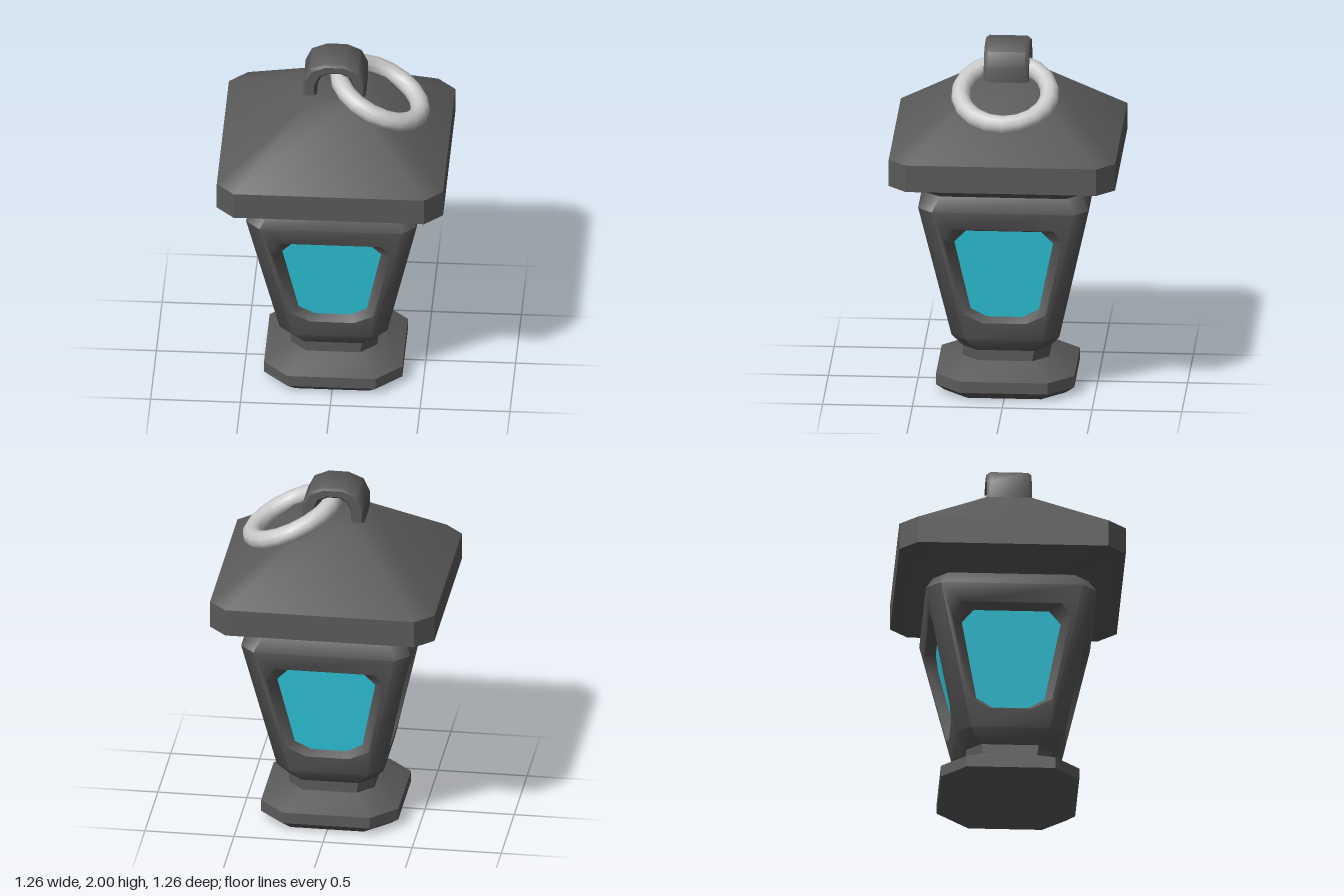
import * as THREE from 'three';
import { mergeGeometries, toCreasedNormals } from 'three/addons/utils/BufferGeometryUtils.js';

const iron = new THREE.MeshStandardMaterial({ color: 0x5a5a5a });
const steel = new THREE.MeshStandardMaterial({ color: 0xcccccc });
const cyan = new THREE.MeshStandardMaterial({ color: 0x33d4ea });

// Square with cut corners: height, half width, corner cut
function section([y, h, c]) {
  const k = h - c;
  return [[-k, h], [k, h], [h, k], [h, -k], [k, -h], [-k, -h], [-h, -k], [-h, k]].map(([x, z]) => [x, y, z]);
}

function fromTriangles(list) {
  const g = new THREE.BufferGeometry();
  g.setAttribute('position', new THREE.Float32BufferAttribute(list.flat(), 3));
  g.computeVertexNormals();
  return g;
}

// Band of quads between two closed rings
function band(a, b, keep = () => true) {
  const tris = [];
  a.forEach((p, i) => {
    const j = (i + 1) % a.length;
    if (keep(i)) tris.push(p, a[j], b[j], p, b[j], b[i]);
  });
  return fromTriangles(tris);
}

function fan(ring) {
  const tris = [];
  for (let i = 1; i < ring.length - 1; i++) tris.push(ring[0], ring[i], ring[i + 1]);
  return fromTriangles(tris);
}

function loft(rows) {
  const rings = rows.map(section);
  const parts = rings.slice(1).map((r, i) => band(rings[i], r));
  parts.push(fan([...rings[0]].reverse()), fan(rings[rings.length - 1]));
  return mergeGeometries(parts);
}

function mesh(name, geometry, material) {
  const m = new THREE.Mesh(geometry, material);
  m.name = name;
  return m;
}

// Sloping wall plane of the lamp body
const LOW = [0.33, 0.30, 0.08], HIGH = [1.13, 0.475, 0.08];
const wallZ = (y) => LOW[1] + (y - LOW[0]) * (HIGH[1] - LOW[1]) / (HIGH[0] - LOW[0]);

// Symmetric window outline from its right half, bottom to top
function outline(half, depth) {
  const all = [...half, ...[...half].reverse().map(([x, y]) => [-x, y])];
  return all.map(([x, y]) => [x, y, wallZ(y) - depth]);
}
const frameRing = outline([[0.12, 0.435], [0.23, 0.49], [0.33, 0.95], [0.28, 1.025]], 0);
const glassRing = outline([[0.10, 0.46], [0.19, 0.51], [0.275, 0.93], [0.21, 1.0]], 0.055);

function wallWithWindow() {
  const b = LOW[1] - LOW[2], t = HIGH[1] - HIGH[2];
  const v2 = (p) => new THREE.Vector2(p[0], p[1]);
  const shape = new THREE.Shape([[-b, LOW[0]], [b, LOW[0]], [t, HIGH[0]], [-t, HIGH[0]]].map(v2));
  shape.holes.push(new THREE.Path(frameRing.map(v2)));
  const g = new THREE.ShapeGeometry(shape).toNonIndexed();
  g.deleteAttribute('uv');
  const p = g.attributes.position;
  for (let i = 0; i < p.count; i++) p.setZ(i, wallZ(p.getY(i)));
  g.computeVertexNormals();
  return mergeGeometries([g, band(frameRing, glassRing)]);
}

export function createModel() {
  const model = new THREE.Group();
  model.name = 'lantern';

  // Foot and waist
  model.add(mesh('foot', toCreasedNormals(loft([
    [0, 0.335, 0.13], [0.045, 0.385, 0.14], [0.11, 0.385, 0.14], [0.19, 0.24, 0.09], [0.25, 0.24, 0.08],
  ]), 0.75), iron));

  // Body: corner posts, four walls with recessed windows, flares above and below
  const low = section(LOW), high = section(HIGH);
  const body = [
    band(section([0.25, 0.24, 0.08]), low),
    band(low, high, (i) => i % 2 === 1),
    band(high, section([1.21, 0.43, 0.08])),
  ];
  for (let i = 0; i < 4; i++) {
    body.push(wallWithWindow().rotateY(i * Math.PI / 2));
    const pane = mesh('windowPane', fan(glassRing), cyan);
    pane.rotation.y = i * Math.PI / 2;
    model.add(pane);
  }
  model.add(mesh('body', toCreasedNormals(mergeGeometries(body), 0.82), iron));

  // Roof with flared underside and small flat top
  model.add(mesh('roof', toCreasedNormals(loft([
    [1.21, 0.43, 0.08], [1.3, 0.575, 0.09], [1.3, 0.63, 0.1], [1.455, 0.63, 0.1], [1.8, 0.17, 0.05],
  ]), 0.7), iron));

  // Arched bracket on the roof
  const arch = new THREE.Shape([
    [-0.175, 1.77], [-0.1, 1.79], [-0.1, 1.86], [-0.075, 1.915], [-0.03, 1.935], [0.03, 1.935],
    [0.075, 1.915], [0.1, 1.86], [0.1, 1.79], [0.172, 1.77], [0.172, 1.89], [0.135, 1.965],
    [0.055, 2], [-0.055, 2], [-0.14, 1.965], [-0.175, 1.89],
  ].map(([x, y]) => new THREE.Vector2(x, y)));
  const bracket = new THREE.ExtrudeGeometry(arch, {
    depth: 0.21, bevelThickness: 0.02, bevelSize: 0.015, bevelOffset: -0.015, bevelSegments: 1,
  }).translate(0, 0, -0.105);
  model.add(mesh('bracket', toCreasedNormals(bracket, 0.75), iron));

  // Carrying ring hanging to the side
  const ring = mesh('carryingRing', new THREE.TorusGeometry(0.249, 0.053, 10, 18).rotateX(Math.PI / 2), steel);
  ring.position.set(0.245, 1.757, 0);
  ring.rotation.z = -0.445;
  model.add(ring);

  return model;
}
